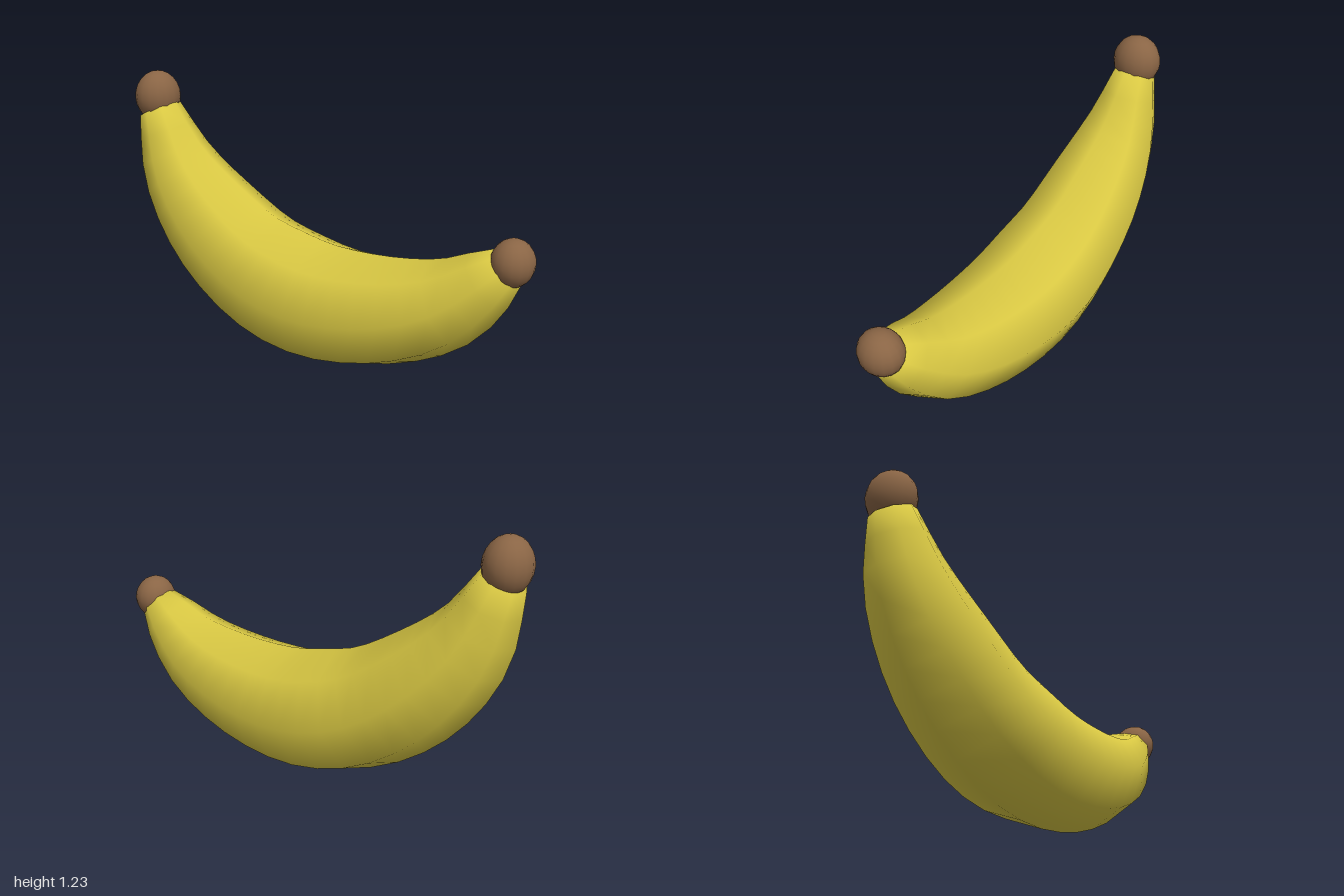
import * as THREE from 'three';

const yellow = new THREE.MeshStandardMaterial({ color: 0xd9c843 });
yellow.name = 'peel yellow';
const brown = new THREE.MeshStandardMaterial({ color: 0x8a6545 });
brown.name = 'tip brown';

const SIDES = 8;
const SEGMENTS = 20;

// Centreline of the fruit: x, y and (stored as z) the radius at that point
const spine = new THREE.CatmullRomCurve3([
  [-0.89, 1.05, 0.1], [-0.77, 0.77, 0.185], [-0.59, 0.56, 0.24], [-0.36, 0.39, 0.268],
  [-0.15, 0.31, 0.283], [0.07, 0.278, 0.276], [0.385, 0.315, 0.244], [0.64, 0.41, 0.195],
  [0.84, 0.57, 0.12], [0.885, 0.615, 0.09],
].map((p) => new THREE.Vector3(...p)));

// Octagonal rings swept along the centreline, closed to a point at each end
function bodyGeometry() {
  const positions = [];
  const index = [];
  const addRing = (t, scale) => {
    const p = spine.getPointAt(t);
    const d = spine.getTangentAt(t);
    const len = Math.hypot(d.x, d.y);
    const nx = -d.y / len, ny = d.x / len;
    const r = p.z * scale;
    for (let j = 0; j < SIDES; j++) {
      const a = (j / SIDES) * Math.PI * 2;
      positions.push(p.x + nx * r * Math.cos(a), p.y + ny * r * Math.cos(a), r * Math.sin(a));
    }
  };
  addRing(0, 0);
  for (let i = 0; i <= SEGMENTS; i++) addRing(i / SEGMENTS, 1);
  addRing(1, 0);
  for (let i = 0; i < SEGMENTS + 2; i++) {
    for (let j = 0; j < SIDES; j++) {
      const k = (j + 1) % SIDES;
      const a = i * SIDES + j, b = i * SIDES + k;
      const c = a + SIDES, d = b + SIDES;
      index.push(a, b, c, b, d, c);
    }
  }
  const g = new THREE.BufferGeometry();
  g.setAttribute('position', new THREE.Float32BufferAttribute(positions, 3));
  g.setIndex(index);
  g.computeVertexNormals();
  return g;
}

// Rounded knob at an end of the fruit
function knob(name, x, y, rx, ry, rz) {
  const mesh = new THREE.Mesh(new THREE.SphereGeometry(1, 16, 12), brown);
  mesh.name = name;
  mesh.position.set(x, y, 0);
  mesh.scale.set(rx, ry, rz);
  return mesh;
}

export function createModel() {
  const group = new THREE.Group();
  group.name = 'banana';
  const body = new THREE.Mesh(bodyGeometry(), yellow);
  body.name = 'body';
  group.add(
    body,
    knob('stem', -0.9, 1.11, 0.1, 0.12, 0.112),
    knob('blossomTip', 0.907, 0.637, 0.09, 0.1, 0.1),
  );
  return group;
}
